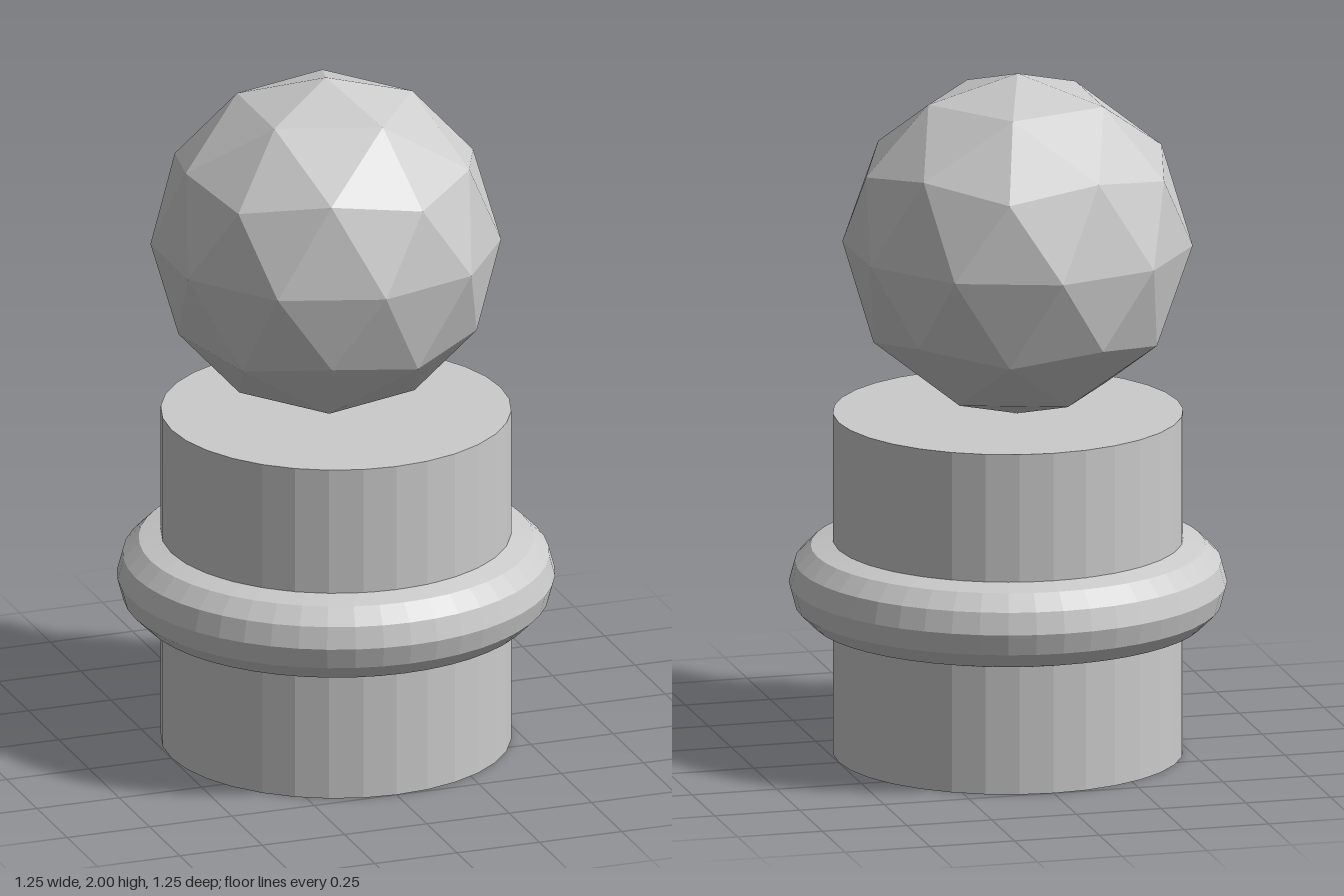
import * as THREE from 'three';

export function createModel() {
  const model = new THREE.Group();
  const material = new THREE.MeshStandardMaterial({ color: 0xcccccc, flatShading: true });

  const add = (name, geometry, x, y, z) => {
    const mesh = new THREE.Mesh(geometry, material);
    mesh.name = name;
    mesh.position.set(x, y, z);
    model.add(mesh);
  };

  // Cylindrical pedestal standing on the ground
  add('pedestal', new THREE.CylinderGeometry(0.5, 0.5, 1, 32), 0, 0.5, 0);

  // Ring around the middle of the pedestal
  add('ring', new THREE.TorusGeometry(0.5, 0.125, 12, 48).rotateX(Math.PI / 2), 0, 0.5, 0);

  // Faceted ball, turned so that one corner points straight up; slightly off centre
  const golden = (1 + Math.sqrt(5)) / 2;
  const ball = new THREE.IcosahedronGeometry(0.5, 1).rotateZ(-Math.atan(1 / golden));
  add('ball', ball, -0.02, 1.5, -0.03);

  return model;
}
